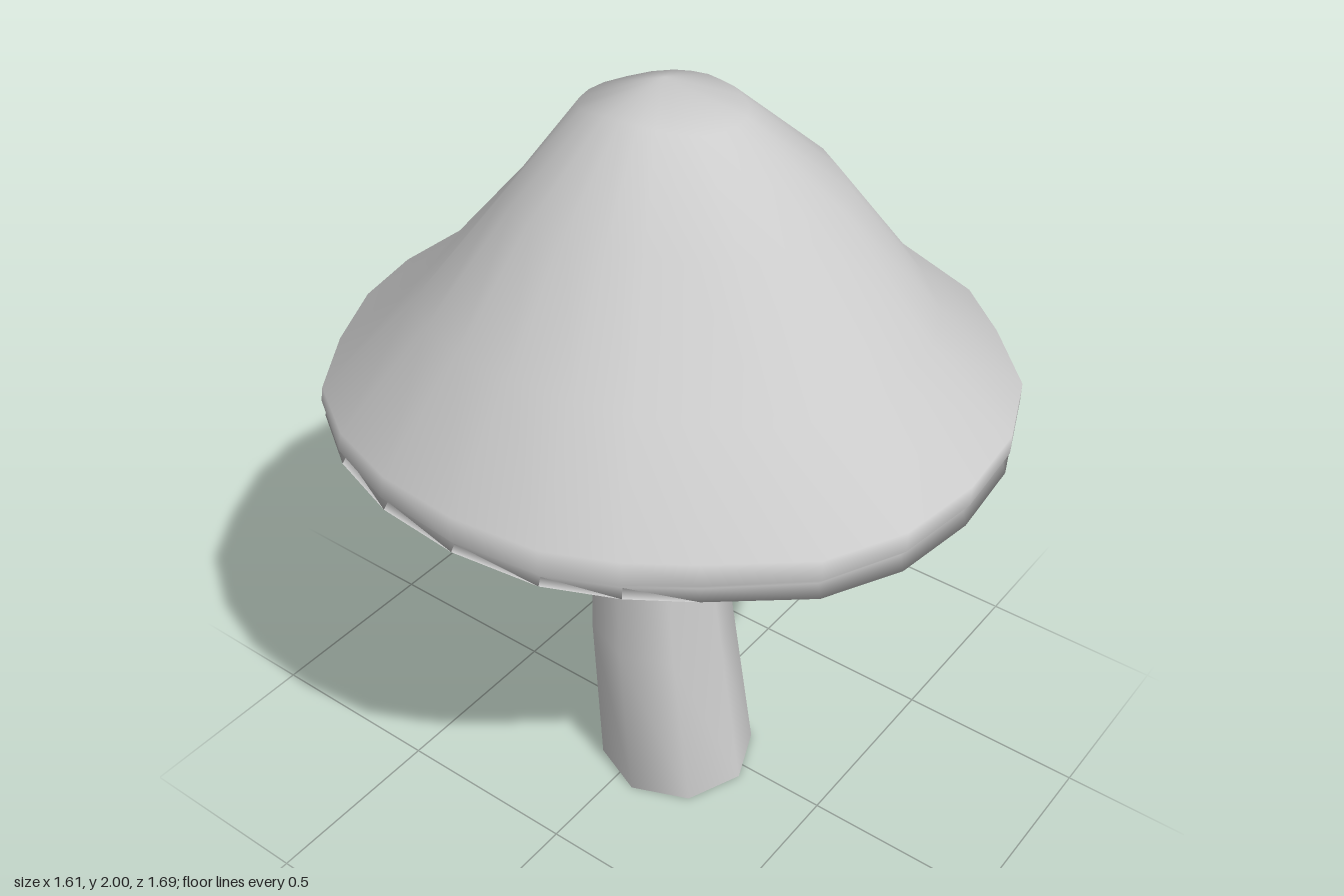
import * as THREE from 'three';
import { mergeVertices } from 'three/addons/utils/BufferGeometryUtils.js';

// Joins closed rings of [x, y, z] points, listed from top to bottom, into a smooth skin.
function loft(rings) {
  const n = rings[0].length;
  const index = [];
  for (let k = 0; k < rings.length - 1; k++) {
    for (let i = 0; i < n; i++) {
      const j = (i + 1) % n;
      const a = k * n + i, b = k * n + j, c = a + n, d = b + n;
      index.push(a, b, c, b, d, c);
    }
  }
  const geometry = new THREE.BufferGeometry();
  geometry.setAttribute('position', new THREE.Float32BufferAttribute(rings.flat(2), 3));
  geometry.setIndex(index);
  const merged = mergeVertices(geometry);
  merged.computeVertexNormals();
  return merged;
}

// Uneven rim outline as x, z pairs, from the back round by the +x side
const RIM = [
  [-0.02, -0.85], [0.16, -0.83], [0.36, -0.73], [0.55, -0.59], [0.69, -0.4], [0.76, -0.19],
  [0.8, 0.03], [0.76, 0.25], [0.7, 0.43], [0.57, 0.58], [0.4, 0.74], [0.2, 0.82],
  [-0.02, 0.84], [-0.24, 0.81], [-0.43, 0.72], [-0.6, 0.53], [-0.7, 0.4], [-0.78, 0.24],
  [-0.81, 0.02], [-0.79, -0.2], [-0.72, -0.4], [-0.6, -0.58], [-0.41, -0.71], [-0.21, -0.81],
];

// Cap sections: rim scale and height, each at the back, +x side, front and -x side
const CAP = [
  [[0, 0, 0, 0], [2, 2, 2, 2]],
  [[0.25, 0.19, 0.23, 0.2], [1.91, 1.95, 1.94, 1.96]],
  [[0.39, 0.46, 0.51, 0.46], [1.74, 1.75, 1.75, 1.78]],
  [[0.71, 0.75, 0.76, 0.72], [1.43, 1.44, 1.46, 1.53]],
  [[1, 1, 1, 0.985], [1.235, 1.26, 1.27, 1.29]],
  // rolled lip
  [[1, 1, 1, 1], [1.215, 1.215, 1.22, 1.235]],
  [[0.98, 0.98, 0.98, 0.98], [1.2, 1.2, 1.2, 1.215]],
  [[0.995, 0.995, 0.995, 0.995], [1.165, 1.185, 1.16, 1.2]],
  // hollow underside
  [[0.95, 0.95, 0.95, 0.95], [1.19, 1.2, 1.19, 1.22]],
  [[0.67, 0.7, 0.71, 0.68], [1.4, 1.41, 1.42, 1.46]],
  [[0.36, 0.41, 0.45, 0.41], [1.68, 1.69, 1.69, 1.71]],
  [[0.18, 0.15, 0.17, 0.16], [1.84, 1.86, 1.86, 1.87]],
  [[0, 0, 0, 0], [1.9, 1.9, 1.9, 1.9]],
];

// Smooth blend of four directional values round the ring
function around(values, i) {
  const t = i / 6;
  const q = Math.floor(t);
  const f = (1 - Math.cos((t - q) * Math.PI)) / 2;
  return values[q] * (1 - f) + values[(q + 1) % 4] * f;
}

function capGeometry() {
  return loft(CAP.map(([scales, heights]) => RIM.map(([x, z], i) => {
    const s = around(scales, i);
    return [s * x - 0.02 * (1 - s), around(heights, i), s * z];
  })));
}

// Stem sections: height, centre z, radius
const STEM = [
  [1.82, -0.01, 0.09],
  [1.5, -0.02, 0.11],
  [1.2, -0.018, 0.128],
  [0.8, -0.013, 0.162],
  [0.45, 0.01, 0.19],
  [0, 0.06, 0.21],
];

function stemGeometry() {
  return loft(STEM.map(([y, cz, r]) => Array.from({ length: 8 }, (_, i) => {
    const a = (i / 8) * Math.PI * 2;
    return [-0.04 + r * Math.sin(a), y, cz - r * Math.cos(a)];
  })));
}

export function createModel() {
  const group = new THREE.Group();
  group.name = 'mushroom';
  const material = new THREE.MeshStandardMaterial({ color: 0xcccccc, side: THREE.DoubleSide });

  const cap = new THREE.Mesh(capGeometry(), material);
  cap.name = 'cap';
  const stem = new THREE.Mesh(stemGeometry(), material);
  stem.name = 'stem';

  group.add(cap, stem);
  return group;
}
